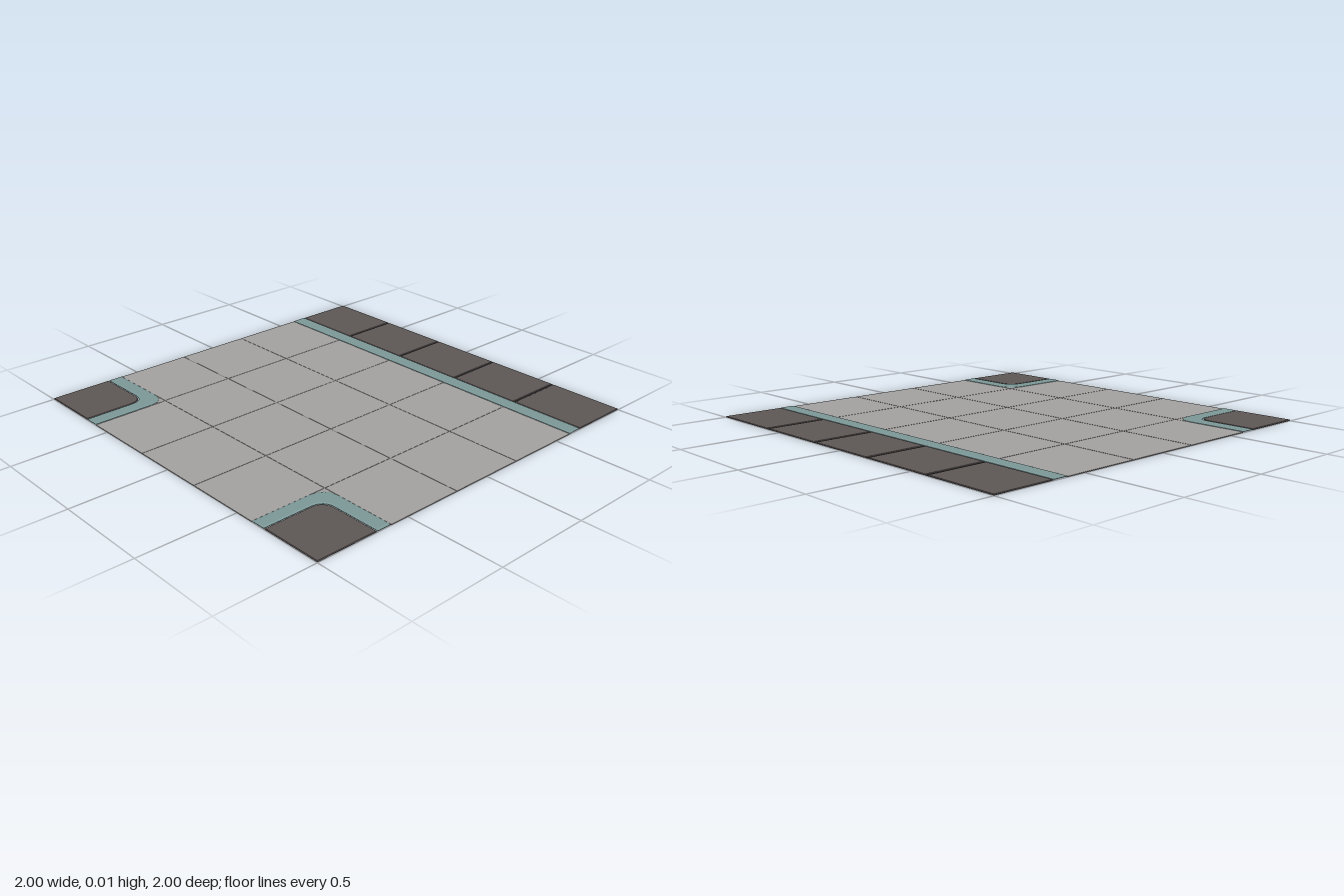
import * as THREE from 'three';

const mat = (name, color) => {
  const m = new THREE.MeshStandardMaterial({ color });
  m.name = name;
  return m;
};

export function createModel() {
  const group = new THREE.Group();
  const paving = mat('pale grey paving', 0xa3a19f);
  const joint = mat('grey joint', 0x77757a);
  const curbColor = mat('teal curb', 0x7c9898);
  const dark = mat('dark walkway', 0x5d5655);
  const darkJoint = mat('black joint', 0x242222);

  // Flat slab from a plan outline (x, z), with optional chamfered rim
  function slab(name, shape, y0, y1, material, bevel = 0) {
    const h = y1 - y0, t = bevel ? h * 0.35 : 0;
    const geo = new THREE.ExtrudeGeometry(shape, {
      depth: h - 2 * t, bevelEnabled: bevel > 0, bevelThickness: t,
      bevelSize: bevel, bevelOffset: -bevel, bevelSegments: 1, curveSegments: 6,
    });
    geo.rotateX(Math.PI / 2).translate(0, y1 - t, 0);
    const mesh = new THREE.Mesh(geo, material);
    mesh.name = name;
    group.add(mesh);
  }
  const rect = (x0, z0, x1, z1) => new THREE.Shape(
    [[x0, z0], [x1, z0], [x1, z1], [x0, z1]].map(([x, z]) => new THREE.Vector2(x, z)));

  // Paving tiles: five columns, with the front corners left free for the walkways
  const g = 0.003;
  for (let row = 0; row < 4; row++) {
    for (let col = 0; col < 5; col++) {
      if (row === 3 && (col === 0 || col === 4)) continue;
      const x = -1 + col * 0.4, z = -0.6 + row * 0.4;
      slab('pavingTile', rect(
        x + (col ? g : 0), z + (row ? g : 0),
        x + 0.4 - (col < 4 ? g : 0), z + 0.4 - (row < 3 ? g : 0)), 0, 0.004, paving);
    }
  }

  // Recessed joints between the tiles
  for (const x of [-0.6, -0.2, 0.2, 0.6]) {
    const end = Math.abs(x) > 0.5 ? 0.6 : 1;
    slab('pavingJoint', rect(x - g, -0.6, x + g, end), 0.001, 0.003, joint);
    slab('walkwayJoint', rect(x - 0.007, -1, x + 0.007, -0.68), 0.001, 0.003, darkJoint);
  }
  for (const z of [-0.2, 0.2, 0.6]) {
    const w = z > 0.5 ? 0.6 : 1;
    slab('pavingJoint', rect(-w, z - g, w, z + g), 0.001, 0.0029, joint);
  }

  // Back walkway slabs and straight curb
  for (let col = 0; col < 5; col++) {
    const x = -1 + col * 0.4;
    slab('backWalkwaySlab', rect(
      x + (col ? 0.006 : 0), -1, x + 0.4 - (col < 4 ? 0.006 : 0), -0.683),
    0, 0.006, dark, 0.003);
  }
  slab('backCurb', rect(-1, -0.68, 1, -0.602), 0, 0.009, curbColor, 0.009);

  // Front corners: rounded curb, walkway and the paving wedge outside the bend
  for (const s of [-1, 1]) {
    const a = 0.6 * s, b = 0.675 * s, ro = 0.09, ri = 0.075;

    const curb = new THREE.Shape();
    curb.moveTo(s, 0.6);
    curb.lineTo(a + s * ro, 0.6);
    curb.quadraticCurveTo(a, 0.6, a, 0.6 + ro);
    curb.lineTo(a, 1);
    curb.lineTo(b, 1);
    curb.lineTo(b, 0.675 + ri);
    curb.quadraticCurveTo(b, 0.675, b + s * ri, 0.675);
    curb.lineTo(s, 0.675);
    slab('cornerCurb', curb, 0, 0.009, curbColor, 0.009);

    const c = 0.679 * s;
    const walk = new THREE.Shape();
    walk.moveTo(s, 0.679);
    walk.lineTo(c + s * ri, 0.679);
    walk.quadraticCurveTo(c, 0.679, c, 0.679 + ri);
    walk.lineTo(c, 1);
    walk.lineTo(s, 1);
    slab('cornerWalkway', walk, 0, 0.007, dark, 0.003);

    const wedge = new THREE.Shape();
    wedge.moveTo(a, 0.6);
    wedge.lineTo(a, 0.6 + ro);
    wedge.quadraticCurveTo(a, 0.6, a + s * ro, 0.6);
    slab('pavingWedge', wedge, 0, 0.004, paving);
  }
  return group;
}
